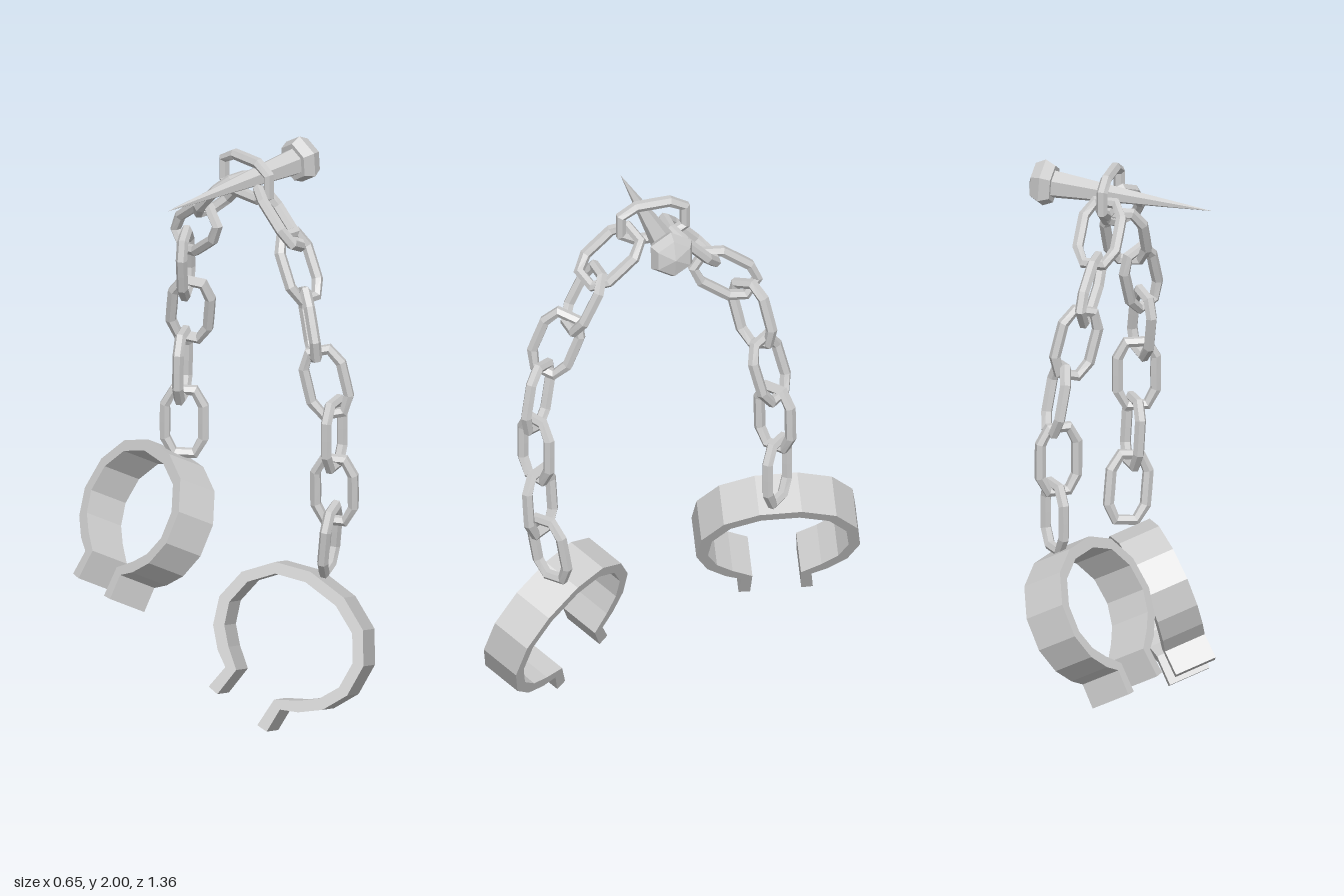
import * as THREE from 'three';

const iron = new THREE.MeshStandardMaterial({ color: 0xcccccc, flatShading: true });

// Place a mesh so that local Y follows `up` and local Z follows `normal`
function place(geometry, name, centre, up, normal) {
  const y = new THREE.Vector3(...up).normalize();
  const z = new THREE.Vector3(...normal);
  z.addScaledVector(y, -z.dot(y)).normalize();
  const x = new THREE.Vector3().crossVectors(y, z);
  const mesh = new THREE.Mesh(geometry, iron);
  mesh.name = name;
  mesh.quaternion.setFromRotationMatrix(new THREE.Matrix4().makeBasis(x, y, z));
  mesh.position.set(...centre);
  return mesh;
}

// Closed polygonal path whose samples fall exactly on the corners
class PolygonPath extends THREE.Curve {
  constructor(points) {
    super();
    this.points = points;
  }
  getUtoTmapping(u) {
    return u;
  }
  getPoint(t, target = new THREE.Vector3()) {
    const n = this.points.length;
    const s = t * n;
    const i = Math.floor(s);
    return target.lerpVectors(this.points[i % n], this.points[(i + 1) % n], s - i);
  }
}

// Chain link: elongated octagon
function linkGeometry() {
  const corners = [
    [0.066, 0], [0.066, 0.06], [0.036, 0.115], [-0.036, 0.115], [-0.066, 0.06],
    [-0.066, 0], [-0.066, -0.06], [-0.036, -0.115], [0.036, -0.115], [0.066, -0.06],
  ].map(([x, y]) => new THREE.Vector3(x, y, 0));
  return new THREE.TubeGeometry(new PolygonPath(corners), corners.length, 0.02, 6, true);
}

// Shackle: open C-shaped band with two straight tabs
function shackleGeometry(width) {
  const half = [
    [0.07, 0.235], [0.182, 0.19], [0.25, 0.1], [0.262, -0.005],
    [0.225, -0.088], [0.165, -0.143], [0.102, -0.182], [0.108, -0.28],
  ];
  const line = [...half.map(([x, y]) => [-x, y]).reverse(), ...half];
  const side = (offset) => line.map((p, i) => {
    const a = line[Math.max(i - 1, 0)];
    const b = line[Math.min(i + 1, line.length - 1)];
    const dx = b[0] - a[0], dy = b[1] - a[1], l = Math.hypot(dx, dy);
    return new THREE.Vector2(p[0] - (dy / l) * offset, p[1] + (dx / l) * offset);
  });
  const shape = new THREE.Shape([...side(0.02), ...side(-0.02).reverse()]);
  const geometry = new THREE.ExtrudeGeometry(shape, { depth: width, bevelEnabled: false });
  return geometry.translate(0, 0, -width / 2);
}

// Spike with a faceted domed head
function spikeGeometry() {
  const profile = [
    [0, 0], [0.05, 0.565], [0.068, 0.565], [0.085, 0.6], [0.066, 0.635], [0, 0.652],
  ].map(([r, y]) => new THREE.Vector2(r, y));
  return new THREE.LatheGeometry(profile, 6);
}

export function createModel() {
  const model = new THREE.Group();
  model.name = 'shackles';

  model.add(place(spikeGeometry(), 'spike', [-0.325, 1.868, 0.068], [0.645, 0.045, 0.014], [0, 1, 0]));

  // Links: centre, long direction, direction the flat side faces
  const chains = {
    topLink: [
      [[0.036, 1.903, 0.07], [0, 0, 1], [1, 0, 0]],
    ],
    frontChainLink: [
      [[0.045, 1.795, 0.228], [0, -0.65, 0.76], [0.55, 0.62, 0.53]],
      [[0.05, 1.645, 0.323], [0, -0.2, 0.1], [0.08, 0.42, 0.88]],
      [[0.02, 1.465, 0.413], [-0.02, -0.22, 0.08], [0.85, 0.15, 0.5]],
      [[0.035, 1.27, 0.482], [0.03, -0.23, 0.045], [0.75, 0, -0.66]],
      [[0.058, 1.078, 0.498], [0, -1, 0], [0.4, 0, 0.9]],
      [[0.068, 0.868, 0.487], [0.01, -0.22, -0.01], [0.82, 0, -0.57]],
      [[0.076, 0.675, 0.455], [0.01, -0.25, -0.04], [0.5, 0, 0.85]],
    ],
    backChainLink: [
      [[0.04, 1.8, -0.062], [0, -0.72, -0.7], [0, 0.7, -0.72]],
      [[0.037, 1.64, -0.19], [0.05, -0.58, -0.8], [1, 0, 0]],
      [[0.065, 1.476, -0.278], [0.2, -0.95, -0.18], [0.57, 0.1, 0.8]],
      [[0.125, 1.28, -0.32], [0.03, -0.25, -0.06], [0.82, 0, -0.57]],
      [[0.11, 1.07, -0.345], [0, -1, -0.02], [0.57, 0, 0.82]],
      [[0.122, 0.86, -0.35], [0, -1, 0], [0.74, 0, -0.67]],
    ],
  };
  const link = linkGeometry();
  for (const [name, links] of Object.entries(chains)) {
    links.forEach(([c, d, n]) => model.add(place(link, name, c, d, n)));
  }

  // Shackles hang tilted with their openings downward
  model.add(place(shackleGeometry(0.15), 'frontShackle', [-0.048, 0.305, 0.39], [0.5, 0.8, 0.29], [0.8, -0.32, -0.51]));
  model.add(place(shackleGeometry(0.155), 'backShackle', [-0.025, 0.523, -0.393], [0.47, 0.88, 0.12], [0.86, -0.47, 0.17]));

  return model;
}
